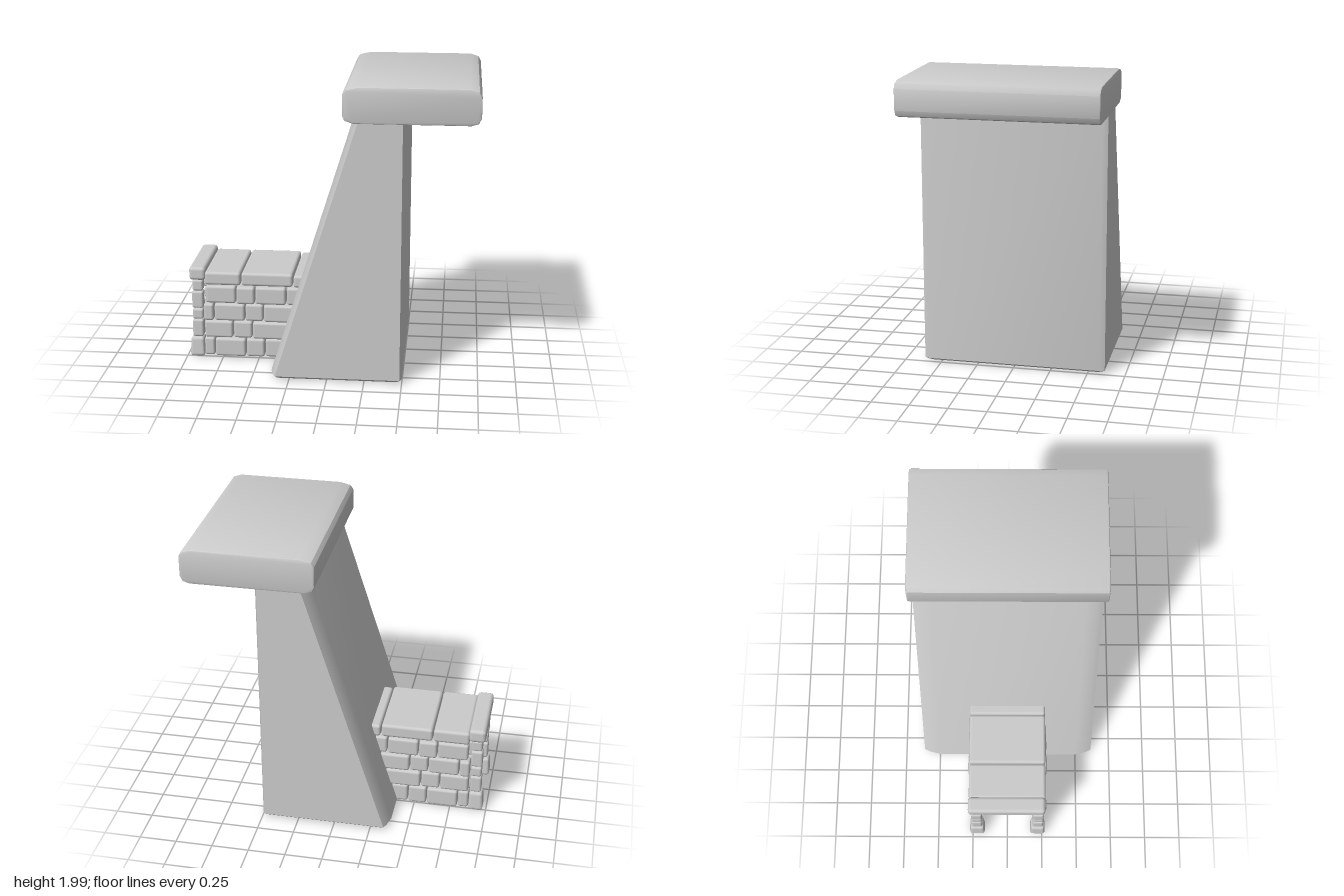
import * as THREE from 'three';
import { toCreasedNormals } from 'three/addons/utils/BufferGeometryUtils.js';
import { RoundedBoxGeometry } from 'three/addons/geometries/RoundedBoxGeometry.js';

const material = new THREE.MeshStandardMaterial({ color: 0xcccccc });

function addMesh(parent, name, geometry) {
  const mesh = new THREE.Mesh(geometry, material);
  mesh.name = name;
  parent.add(mesh);
  return mesh;
}

// Soft-edged stone given by its extents on each axis
function addStone(parent, name, [x0, x1], [y0, y1], [z0, z1], radius = 0.018, taper = 1) {
  const h = y1 - y0;
  const g = new RoundedBoxGeometry(x1 - x0, h, z1 - z0, 2, radius);
  if (taper !== 1) {
    const p = g.attributes.position;
    for (let i = 0; i < p.count; i++) {
      const s = THREE.MathUtils.lerp(1, taper, p.getY(i) / h + 0.5);
      p.setX(i, p.getX(i) * s);
      p.setZ(i, p.getZ(i) * s);
    }
    g.computeVertexNormals();
  }
  const mesh = addMesh(parent, name, g);
  mesh.position.set((x0 + x1) / 2, (y0 + y1) / 2, (z0 + z1) / 2);
  return mesh;
}

// Horizontal cross-section of the buttress: sloping left side, upright right side
function section(y, scaleX, scaleZ) {
  const xl = -0.39 + 0.313 * y;
  const half = [[xl, 0.5], [xl + 0.02, 0.58], [xl + 0.037, 0.614], [0.485, 0.614], [0.5, 0.58]];
  const ring = [...half, ...half.map(([x, z]) => [x, -z]).reverse()];
  const cx = (xl + 0.5) / 2;
  return ring.map(([x, z]) => [cx + (x - cx) * scaleX, y, z * scaleZ]);
}

function buttressGeometry() {
  const rings = [section(0.008, 0.86, 0.91), section(0.016, 0.95, 0.97), section(0.032, 1, 1), section(1.85, 1, 1)];
  const n = rings[0].length;
  const positions = rings.flat(2);
  const index = [];
  for (let r = 0; r < rings.length - 1; r++) {
    for (let i = 0; i < n; i++) {
      const a = r * n + i, b = r * n + (i + 1) % n;
      index.push(a, b, b + n, a, b + n, a + n);
    }
  }
  const top = (rings.length - 1) * n;
  for (let i = 1; i < n - 1; i++) {
    index.push(0, i + 1, i, top, top + i, top + i + 1);
  }
  const g = new THREE.BufferGeometry();
  g.setAttribute('position', new THREE.Float32BufferAttribute(positions, 3));
  g.setIndex(index);
  return toCreasedNormals(g, 0.6);
}

// Overhanging slab: softened rectangle extruded front to back
function slabGeometry() {
  const b = 0.012;
  const outline = [
    [0.105, 1.815], [0.118, 1.785], [0.17, 1.766], [0.91, 1.766], [0.955, 1.78], [0.973, 1.815],
    [0.973, 1.95], [0.955, 1.983], [0.9, 2], [0.2, 2], [0.125, 1.983], [0.105, 1.955],
  ].map(([x, y]) => new THREE.Vector2(x, y));
  const g = new THREE.ExtrudeGeometry(new THREE.Shape(outline), {
    depth: 1.28 - 2 * b, bevelThickness: b, bevelSize: b, bevelOffset: -b, bevelSegments: 2,
  });
  g.translate(0, 0, -0.64 + b);
  return toCreasedNormals(g, 0.6);
}

// Each course: height range, then the joints between its bricks along x
const courses = [
  [[0.022, 0.152], [-0.88, -0.803, -0.587, -0.457, -0.26]],
  [[0.155, 0.277], [-0.875, -0.675, -0.542, -0.24]],
  [[0.28, 0.402], [-0.88, -0.806, -0.592, -0.464, -0.2]],
  [[0.405, 0.528], [-0.865, -0.652, -0.522, -0.307, -0.14]],
];

// Square stones stacked in the end post: x range and y range
const postStones = [
  [[-0.96, -0.884], [0.152, 0.277]],
  [[-0.957, -0.884], [0.28, 0.355]],
  [[-0.96, -0.882], [0.36, 0.482]],
  [[-0.955, -0.882], [0.486, 0.565]],
];

function addWallSide(parent, side) {
  const wall = new THREE.Group();
  wall.name = side > 0 ? 'frontBrickWall' : 'backBrickWall';
  const depth = (inner, outer) => (side > 0 ? [inner, outer] : [-outer, -inner]);

  courses.forEach(([y, joints], row) => {
    for (let i = 0; i < joints.length - 1; i++) {
      const outer = 0.265 + 0.006 * ((row + i * 2) % 3);
      addStone(wall, 'brick', [joints[i] + 0.003, joints[i + 1] - 0.003], y, depth(0.185, outer));
    }
  });
  for (const [x, y] of postStones) addStone(wall, 'postStone', x, y, depth(0.18, 0.256), 0.015);
  addStone(wall, 'postFoot', [-0.978, -0.876], [0.012, 0.15], depth(0.163, 0.272), 0.02, 0.86);
  parent.add(wall);
}

export function createModel() {
  const model = new THREE.Group();
  model.name = 'stoneButtressWithWall';

  addMesh(model, 'buttress', buttressGeometry());
  addMesh(model, 'topSlab', slabGeometry());

  // Hollow low wall: two brick faces bridged by capstones
  const lowWall = new THREE.Group();
  lowWall.name = 'lowWall';
  model.add(lowWall);
  for (const side of [1, -1]) addWallSide(lowWall, side);

  addStone(lowWall, 'endCapstone', [-0.975, -0.863], [0.563, 0.656], [-0.272, 0.262], 0.024);
  const capJoints = [-0.87, -0.618, -0.26, -0.08];
  for (let i = 0; i < 3; i++) {
    const y = i < 2 ? [0.534, 0.627] : [0.532, 0.618];
    addStone(lowWall, 'capstone', [capJoints[i] + 0.003, capJoints[i + 1] - 0.003], y, [-0.268, 0.264], 0.02);
  }
  return model;
}
